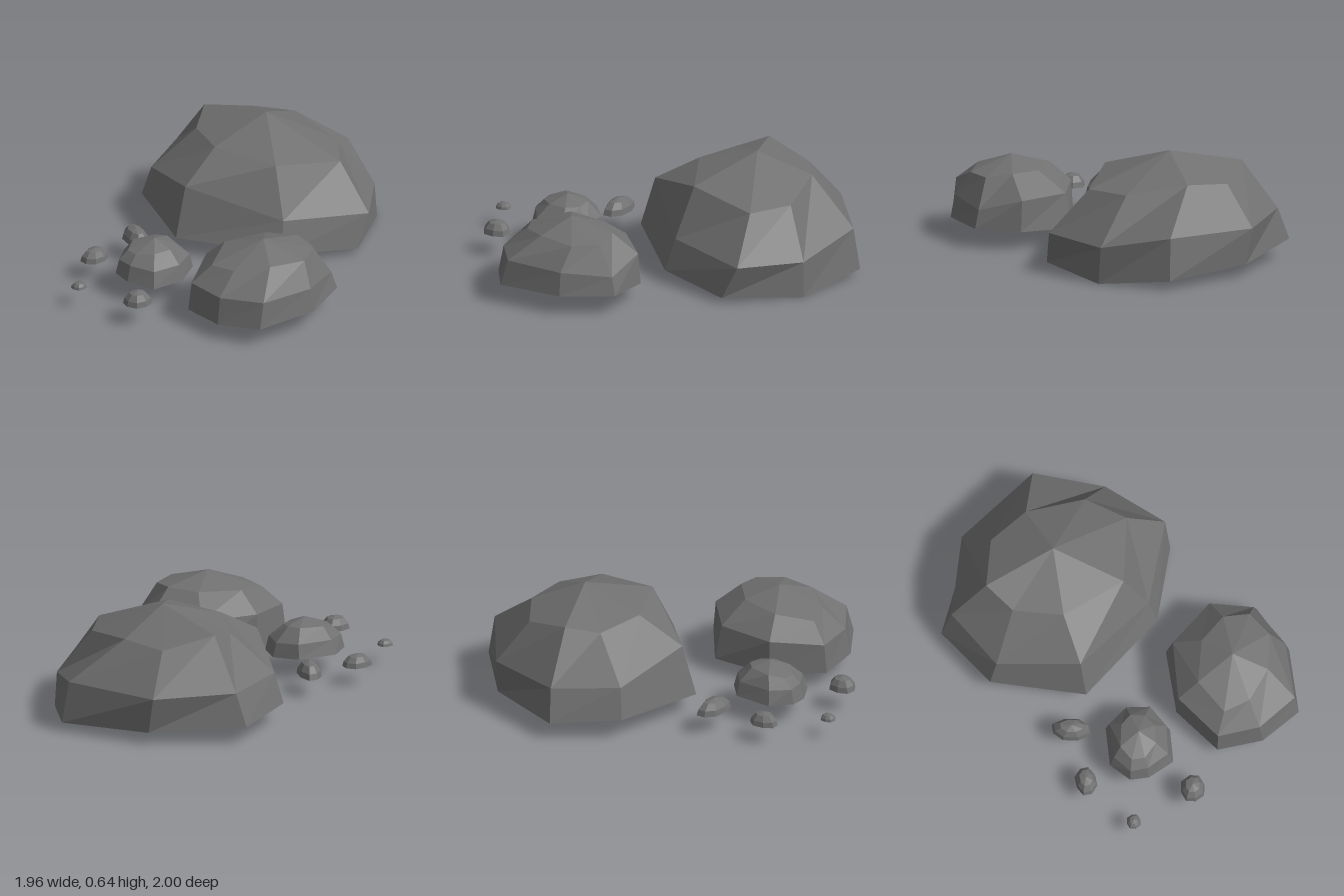
import * as THREE from 'three';

const material = new THREE.MeshStandardMaterial({ color: 0x707070, flatShading: true, side: THREE.DoubleSide });

// Faceted dome from eight-sided rings, listed clockwise seen from above, with an open ring underneath.
function rock(name, base, mid, upper, apex) {
  const centre = base.reduce((s, p) => s.map((v, i) => v + p[i] / base.length), [0, 0, 0]);
  const inner = base.map(p => p.map((v, i) => centre[i] + (v - centre[i]) * 0.37));
  const rings = [inner, base, mid, upper];
  const n = base.length;
  const index = [];
  for (let r = 0; r < rings.length - 1; r++) {
    for (let i = 0; i < n; i++) {
      const a = r * n + i, b = r * n + (i + 1) % n;
      index.push(a, a + n, b, b, a + n, b + n);
    }
  }
  const top = rings.length * n;
  for (let i = 0; i < n; i++) index.push(top - n + i, top, top - n + (i + 1) % n);
  const geometry = new THREE.BufferGeometry();
  geometry.setAttribute('position', new THREE.Float32BufferAttribute([...rings.flat(2), ...apex], 3));
  geometry.setIndex(index);
  const flat = geometry.toNonIndexed();
  flat.computeVertexNormals();
  const mesh = new THREE.Mesh(flat, material);
  mesh.name = name;
  return mesh;
}

// Little stone: a squashed irregular dome, turned about y.
function pebble(name, x, y, z, rx, h, rz, turn = 0) {
  const wobble = [1.04, 0.98, 1.06, 1, 1.05, 0.97, 1.07, 1];
  const ring = (r, level) => wobble.map((w, i) => {
    const a = (i + 0.5) * Math.PI / 4;
    return [Math.cos(a) * r * w * rx, level * h, Math.sin(a) * r * w * rz];
  });
  const mesh = rock(name, ring(1, 0), ring(0.9, 0.4), ring(0.58, 0.82), [0, h, 0]);
  mesh.position.set(x, y, z);
  mesh.rotation.y = turn;
  return mesh;
}

export function createModel() {
  const group = new THREE.Group();
  group.name = 'rockCluster';

  group.add(rock('largeRock',
    [[0.02, 0.1, -1], [0.55, 0.07, -0.92], [0.98, 0.05, -0.62], [0.95, 0, -0.2],
      [0.69, 0.035, 0.178], [0.25, 0.07, 0.16], [-0.24, 0.11, -0.17], [-0.235, 0.12, -0.7]],
    [[0.07, 0.28, -0.95], [0.53, 0.27, -0.95], [0.94, 0.28, -0.61], [0.94, 0.2, -0.21],
      [0.77, 0.22, 0.14], [0.28, 0.25, 0.11], [-0.17, 0.39, -0.21], [-0.19, 0.29, -0.67]],
    [[0.16, 0.56, -0.77], [0.45, 0.49, -0.78], [0.63, 0.51, -0.61], [0.76, 0.46, -0.3],
      [0.68, 0.46, -0.06], [0.29, 0.52, -0.03], [0.05, 0.535, -0.33], [0.05, 0.515, -0.61]],
    [0.39, 0.64, -0.43]));

  group.add(rock('mediumRock',
    [[0.07, 0.08, 0.23], [0.33, 0.1, 0.44], [0.37, 0.11, 0.69], [0.15, 0.11, 0.9],
      [-0.2, 0.11, 0.995], [-0.38, 0.09, 0.82], [-0.46, 0.08, 0.58], [-0.27, 0.08, 0.33]],
    [[0.06, 0.27, 0.27], [0.31, 0.27, 0.44], [0.34, 0.21, 0.68], [0.14, 0.24, 0.88],
      [-0.17, 0.255, 0.97], [-0.36, 0.24, 0.8], [-0.44, 0.24, 0.58], [-0.26, 0.27, 0.34]],
    [[0.05, 0.385, 0.43], [0.2, 0.39, 0.53], [0.24, 0.37, 0.67], [0.14, 0.37, 0.79],
      [-0.07, 0.38, 0.81], [-0.25, 0.35, 0.73], [-0.33, 0.34, 0.6], [-0.19, 0.38, 0.44]],
    [-0.03, 0.45, 0.61]));

  group.add(rock('smallRock',
    [[-0.43, 0.13, -0.04], [-0.3, 0.12, 0.05], [-0.28, 0.12, 0.19], [-0.39, 0.11, 0.31],
      [-0.57, 0.11, 0.35], [-0.68, 0.12, 0.23], [-0.71, 0.13, 0.13], [-0.64, 0.13, 0.01]],
    [[-0.43, 0.21, -0.02], [-0.32, 0.2, 0.06], [-0.3, 0.2, 0.19], [-0.4, 0.2, 0.29],
      [-0.56, 0.2, 0.32], [-0.66, 0.21, 0.22], [-0.69, 0.21, 0.13], [-0.62, 0.21, 0.03]],
    [[-0.45, 0.28, 0.05], [-0.39, 0.28, 0.09], [-0.38, 0.27, 0.17], [-0.43, 0.27, 0.23],
      [-0.53, 0.27, 0.25], [-0.62, 0.26, 0.2], [-0.64, 0.26, 0.13], [-0.58, 0.28, 0.06]],
    [-0.49, 0.315, 0.15]));

  group.add(pebble('pebbleBack', -0.455, 0.11, -0.225, 0.063, 0.08, 0.11, 0.08));
  group.add(pebble('pebbleBackRight', -0.74, 0.105, -0.11, 0.082, 0.07, 0.06, 0.25));
  group.add(pebble('pebbleFront', -0.715, 0.12, 0.475, 0.078, 0.075, 0.068));
  group.add(pebble('pebbleTiny', -0.943, 0.112, 0.178, 0.043, 0.034, 0.039));
  return group;
}
